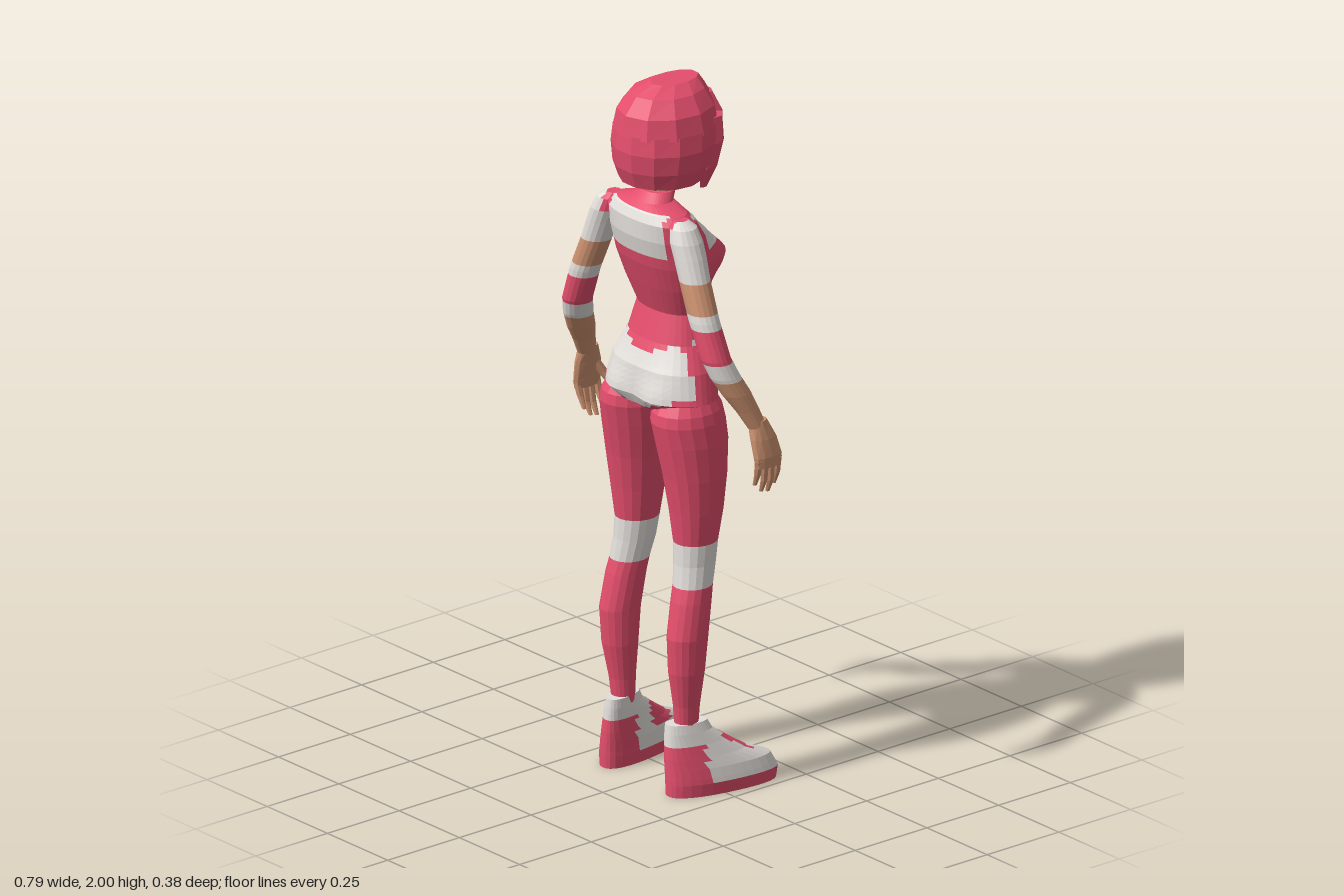
import * as THREE from 'three';

const mat = (name, color, side = THREE.FrontSide) => {
  const m = new THREE.MeshStandardMaterial({ color, side });
  m.name = name;
  return m;
};

export function createModel() {
  const model = new THREE.Group();
  model.name = 'figure';
  const mats = [
    mat('red', 0xe44e6c, THREE.DoubleSide), mat('white', 0xe2deda), mat('skin', 0xcd9270),
    mat('lipPink', 0xd9647a), mat('dark', 0x2a2224),
  ];
  const RED = 0, WHITE = 1, SKIN = 2, LIP = 3, DARK = 4;

  // Faceted skin over horizontal rings [y, cx, cz, rx, rz], listed upwards; a ring's angle 0 is the back (+z).
  function loft(name, secs, { n = 16, sub = 1, pow = 2, color = RED, warp, arc, cap = null, parent = model } = {}) {
    const paint = typeof color === 'function' ? color : () => color;
    const [a0, a1] = arc || [0, Math.PI * 2];
    const rings = [];
    const ring = ([y, cx, cz, rx, rz]) => {
      const pts = [];
      for (let j = 0; j <= n; j++) {
        const a = a0 + (a1 - a0) * j / n, s = Math.sin(a), c = Math.cos(a);
        const k = Math.pow(Math.pow(Math.abs(s), pow) + Math.pow(Math.abs(c), pow), -1 / pow);
        const p = new THREE.Vector3(cx + rx * s * k, y, cz + rz * c * k);
        if (warp) warp(p, cz);
        pts.push(p);
      }
      return pts;
    };
    for (let i = 0; i < secs.length - 1; i++)
      for (let k = 0; k < sub; k++)
        rings.push(ring(secs[i].map((v, q) => v + (secs[i + 1][q] - v) * k / sub)));
    rings.push(ring(secs[secs.length - 1]));

    const buckets = mats.map(() => []);
    const tri = (a, b, c, m) => buckets[m].push(...a.toArray(), ...b.toArray(), ...c.toArray());
    for (let i = 0; i < rings.length - 1; i++)
      for (let j = 0; j < n; j++) {
        const a = rings[i][j], b = rings[i][j + 1], c = rings[i + 1][j + 1], d = rings[i + 1][j];
        const m = paint(a.clone().add(b).add(c).add(d).multiplyScalar(0.25));
        tri(a, b, c, m);
        tri(a, c, d, m);
      }
    if (!arc) [rings[0], rings[rings.length - 1]].forEach((r, e) => {
      const mid = new THREE.Vector3();
      for (let j = 0; j < n; j++) mid.addScaledVector(r[j], 1 / n);
      const m = e === 0 && cap !== null ? cap : paint(mid);
      for (let j = 0; j < n; j++) e ? tri(mid, r[j], r[j + 1], m) : tri(mid, r[j + 1], r[j], m);
    });
    const geo = new THREE.BufferGeometry();
    geo.setAttribute('position', new THREE.Float32BufferAttribute(buckets.flat(), 3));
    let start = 0;
    buckets.forEach((b, m) => {
      if (b.length) geo.addGroup(start, b.length / 3, m);
      start += b.length / 3;
    });
    geo.computeVertexNormals();
    const mesh = new THREE.Mesh(geo, geo.groups.length === 1 ? mats[geo.groups[0].materialIndex] : mats);
    if (geo.groups.length === 1) geo.clearGroups();
    mesh.name = name;
    parent.add(mesh);
    return mesh;
  }

  // Torso with chest and seat shaped by smooth bumps
  const bump = (v, w) => Math.exp(-(v * v) / (w * w));
  loft('torso', [
    [1.07, 0, .04, .04, .05], [1.09, 0, .042, .12, .085], [1.12, 0, .042, .188, .1], [1.2, 0, .03, .166, .106],
    [1.27, 0, .016, .13, .088], [1.35, 0, .008, .11, .073], [1.43, 0, .028, .135, .083], [1.5, 0, .042, .15, .093],
    [1.58, 0, .06, .155, .094], [1.63, 0, .078, .152, .077], [1.653, 0, .084, .13, .06], [1.672, 0, .078, .065, .046],
    [1.695, 0, .058, .05, .044],
  ], {
    n: 40, sub: 5, pow: 2.25,
    warp(p, cz) {
      const x = Math.abs(p.x);
      if (p.z < cz) p.z -= .078 * bump(x - .066, .045) * bump(p.y - 1.485, p.y < 1.485 ? .055 : .075);
      else p.z += .02 * bump(x - .085, .06) * bump(p.y - 1.12, .06);
    },
    color({ x, y, z }) {
      const ax = Math.abs(x), front = z < .06;
      if (!front && z > .09 && ax < .11 && y > 1.53 && y < 1.655) return WHITE;
      if (front && ax < .128 && y < 1.645 && y > 1.53 - .03 * bump(x, .04)) return WHITE;
      const hip = front ? z < .04 - (1.28 - y) * .6 : z > .07;
      return hip && y < 1.235 + .35 * ax && y > (front ? 1.06 : 1.075) + .4 * ax ? WHITE : RED;
    },
  });

  // Neck and head
  loft('neck', [[1.67, 0, .06, .044, .042], [1.72, 0, .042, .042, .042], [1.8, 0, .025, .045, .05]], { color: SKIN });
  loft('head', [
    [1.698, 0, -.048, .02, .022], [1.715, 0, -.032, .04, .047], [1.76, 0, -.012, .062, .075],
    [1.82, 0, .006, .075, .09], [1.9, 0, .02, .08, .1], [1.96, 0, .03, .06, .08],
  ], { n: 24, sub: 3, color: SKIN });
  loft('nose', [[1.775, 0, -.085, .013, .012], [1.785, 0, -.088, .014, .019], [1.835, 0, -.08, .006, .008]],
    { n: 8, color: SKIN });
  loft('lips', [[1.736, 0, -.08, .008, .006], [1.743, 0, -.08, .019, .013], [1.752, 0, -.081, .008, .009]],
    { n: 10, color: LIP });

  // Thin face plates
  function plate(name, geo, m, x, y, z, s, tilt = 0) {
    const mesh = new THREE.Mesh(geo, mats[m]);
    mesh.name = name;
    mesh.position.set(s * x, y, z);
    mesh.rotation.set(0, Math.PI - s * .45, s * tilt);
    model.add(mesh);
  }
  for (const s of [-1, 1]) {
    const eye = new THREE.CircleGeometry(.014, 16).scale(1, .5, 1);
    plate('eye', eye, WHITE, .031, 1.828, -.081, s);
    plate('iris', new THREE.CircleGeometry(.006, 12), DARK, .0315, 1.828, -.083, s);
    plate('eyelid', new THREE.BoxGeometry(.03, .004, .004), DARK, .031, 1.836, -.081, s);
    plate('brow', new THREE.BoxGeometry(.034, .005, .006), DARK, .032, 1.853, -.079, s, .12);
  }

  // Faceted bob hair: crown, curtain open at the face, fringe and locks
  loft('hairCrown', [
    [1.872, .007, .035, .134, .152], [1.93, .007, .035, .12, .141], [1.975, .006, .028, .088, .11], [2, .012, .01, .045, .075],
  ], { n: 11 });
  loft('hairCurtain', [
    [1.728, .005, .05, .115, .115], [1.775, .006, .045, .131, .138], [1.83, .008, .04, .138, .15], [1.88, .007, .035, .132, .15],
  ], { n: 9, arc: [-2.15, 2.15] });
  for (const s of [-1, 1]) {
    loft('hairSideLock', [[1.7, s * .088, -.028, .006, .012], [1.76, s * .105, -.03, .016, .032],
      [1.83, s * .108, -.04, .02, .042], [1.9, s * .085, -.05, .03, .045]], { n: 6 });
    loft('hairFringe', [[1.8, s * .085, -.066, .006, .008], [1.85, s * .068, -.083, .024, .02],
      [1.9, s * .045, -.09, .036, .026], [1.95, s * .03, -.07, .03, .03]], { n: 6 });
  }
  loft('hairParting', [[1.85, -.035, -.108, .012, .01], [1.9, -.028, -.102, .026, .022],
    [1.965, -.022, -.065, .028, .03], [1.99, -.02, -.02, .026, .04]], { n: 4, pow: 4 });

  for (const s of [-1, 1]) {
    const side = s > 0 ? 'left' : 'right';
    const flip = secs => secs.map(([y, x, ...r]) => [y, s * x, ...r]);

    // Leg with knee band
    loft(side + 'Leg', flip([
      [.18, .13, .068, .03, .033], [.25, .133, .07, .034, .038], [.35, .138, .074, .046, .052], [.45, .14, .072, .05, .06],
      [.55, .135, .055, .051, .058], [.59, .131, .046, .051, .056], [.65, .124, .034, .053, .06], [.71, .121, .028, .057, .063],
      [.8, .121, .026, .07, .076], [.9, .118, .028, .082, .09], [1, .111, .034, .091, .104], [1.06, .106, .042, .091, .108],
      [1.09, .104, .043, .086, .103], [1.13, .1, .04, .07, .08],
    ]), { n: 18, sub: 2, color: p => (p.y > .59 && p.y < .71 ? WHITE : RED) });

    // Shoe, turned out towards the toe
    const mid = (y, z) => s * (.147 - Math.max(0, y - .04) * .1 + (.07 - z) * .17);
    loft(side + 'Shoe', [
      [0, 0, -.025, .038, .138], [0, 0, -.025, .054, .16], [.035, 0, -.027, .057, .163], [.075, 0, -.017, .053, .153],
      [.105, 0, .018, .046, .118], [.14, 0, .043, .039, .091], [.175, 0, .065, .034, .066], [.2, 0, .07, .03, .058],
    ], {
      n: 32, sub: 3, pow: 2.4, cap: WHITE,
      warp: p => { p.x += mid(p.y, p.z); },
      color({ x, y, z }) {
        if (y < .035 || (z > .045 && y < .14)) return RED;
        return z < -.02 && z > -.108 && y > .08 && (x - mid(y, z)) * s < .028 ? RED : WHITE;
      },
    });

    // Arm with banded sleeve
    loft(side + 'Arm', flip([
      [1.1, .353, .008, .023, .028], [1.15, .339, .03, .027, .034], [1.2, .322, .055, .034, .042], [1.25, .304, .08, .038, .043],
      [1.3, .286, .097, .04, .042], [1.4, .246, .104, .043, .041], [1.5, .203, .1, .043, .042], [1.56, .18, .097, .044, .045],
      [1.6, .163, .096, .044, .046], [1.635, .15, .095, .036, .038], [1.652, .138, .094, .018, .02],
    ]), {
      n: 18, sub: 5,
      color({ x, y }) {
        if (y < 1.245) return SKIN;
        if (y < 1.29) return WHITE;
        if (y < 1.38) return RED;
        if (y < 1.415) return WHITE;
        if (y < 1.5) return SKIN;
        return y > 1.6 && Math.abs(x) < .145 ? RED : WHITE;
      },
    });

    // Hand
    const hand = new THREE.Group();
    hand.name = side + 'Hand';
    model.add(hand);
    const part = (name, secs, n) => loft(name, flip(secs), { n, color: SKIN, parent: hand });
    part('palm', [[.99, .376, -.01, .016, .042], [1.02, .374, -.011, .02, .047], [1.07, .364, -.004, .022, .042],
      [1.12, .35, .006, .023, .028]], 12);
    for (let f = 0; f < 4; f++) {
      const z = -.043 + f * .022, tip = [.925, .907, .912, .935][f];
      part('finger', [[tip, .354, z - .006, .006, .006], [tip + .035, .368, z - .004, .009, .01],
        [1.01, .377, z, .011, .012]], 7);
    }
    part('thumb', [[.962, .327, -.068, .007, .008], [.99, .332, -.064, .011, .012], [1.03, .35, -.044, .014, .016],
      [1.07, .36, -.02, .012, .016]], 8);
  }
  return model;
}
